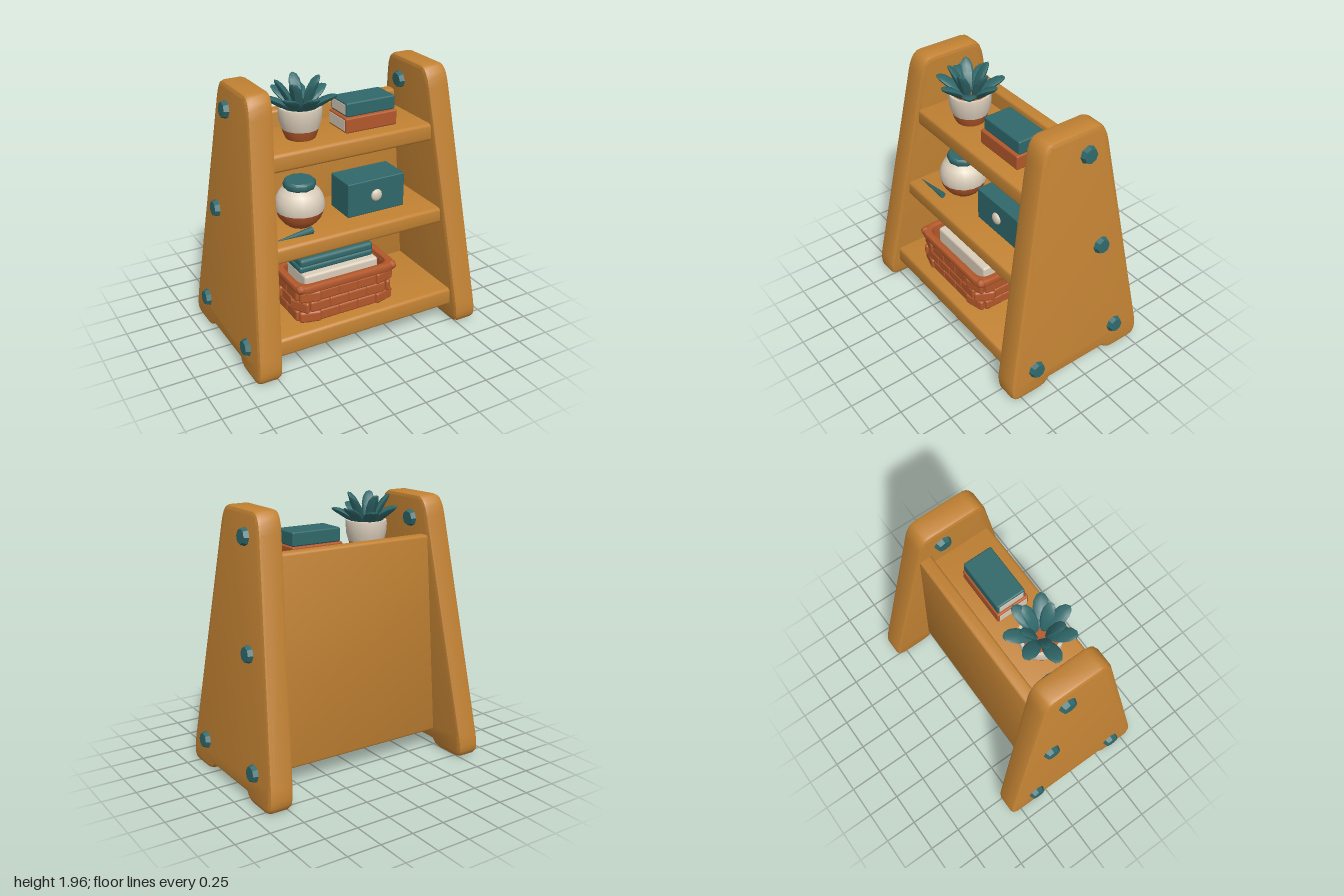
import * as THREE from 'three';
import { toCreasedNormals } from 'three/addons/utils/BufferGeometryUtils.js';
import { RoundedBoxGeometry } from 'three/addons/geometries/RoundedBoxGeometry.js';

const material = (name, color) => {
  const m = new THREE.MeshStandardMaterial({ color });
  m.name = name;
  return m;
};

// Lean of the side panels: centre x at a given height
const LEAN = 0.0765;
const panelX = (y) => 0.82 - LEAN * y;

// Move every vertex by a rule
function deform(geo, rule) {
  const p = geo.attributes.position;
  const v = new THREE.Vector3();
  for (let i = 0; i < p.count; i++) {
    rule(v.fromBufferAttribute(p, i));
    p.setXYZ(i, v.x, v.y, v.z);
  }
  geo.computeVertexNormals();
  return geo;
}

function roundedRect(hw, hh, r) {
  const s = new THREE.Shape();
  s.moveTo(0, -hh);
  s.lineTo(hw - r, -hh).quadraticCurveTo(hw, -hh, hw, -hh + r);
  s.lineTo(hw, hh - r).quadraticCurveTo(hw, hh, hw - r, hh);
  s.lineTo(-hw + r, hh).quadraticCurveTo(-hw, hh, -hw, hh - r);
  s.lineTo(-hw, -hh + r).quadraticCurveTo(-hw, -hh, -hw + r, -hh);
  s.lineTo(0, -hh);
  return s;
}

export function createModel() {
  const root = new THREE.Group();
  root.name = 'bookshelf';
  const wood = material('honey wood', 0xc28233);
  const teal = material('teal', 0x30686a);
  const clay = material('terracotta', 0xb3582b);
  const cream = material('cream', 0xdacdba);

  const add = (name, geo, mat, parent = root) => {
    const mesh = new THREE.Mesh(geo, mat);
    mesh.name = name;
    parent.add(mesh);
    return mesh;
  };
  const group = (name, x = 0, y = 0, z = 0) => {
    const g = new THREE.Group();
    g.name = name;
    g.position.set(x, y, z);
    root.add(g);
    return g;
  };
  // Rounded box given by its limits
  const block = (name, [x0, x1], [y0, y1], [z0, z1], r, mat, parent = root) => {
    const mesh = add(name, new RoundedBoxGeometry(x1 - x0, y1 - y0, z1 - z0, 2, r), mat, parent);
    mesh.position.set((x0 + x1) / 2, (y0 + y1) / 2, (z0 + z1) / 2);
    return mesh;
  };
  const lathe = (points, sides) =>
    toCreasedNormals(new THREE.LatheGeometry(points.map(([r, y]) => new THREE.Vector2(r, y)), sides), 0.7);

  // Leaning side panels with feet
  const side = new THREE.Shape();
  side.moveTo(-0.25, 0.055);
  side.quadraticCurveTo(-0.28, 0.01, -0.34, 0.005);
  side.lineTo(-0.51, 0.005);
  side.quadraticCurveTo(-0.585, 0.005, -0.585, 0.09);
  side.quadraticCurveTo(-0.585, 0.14, -0.575, 0.19);
  side.lineTo(-0.275, 1.81);
  side.quadraticCurveTo(-0.25, 1.955, -0.17, 1.955);
  side.lineTo(0.17, 1.955);
  side.quadraticCurveTo(0.25, 1.955, 0.275, 1.81);
  side.lineTo(0.575, 0.19);
  side.quadraticCurveTo(0.585, 0.14, 0.585, 0.09);
  side.quadraticCurveTo(0.585, 0.005, 0.51, 0.005);
  side.lineTo(0.34, 0.005);
  side.quadraticCurveTo(0.28, 0.01, 0.25, 0.055);
  const bolts = [[1.78, -0.09], [1.02, -0.21], [0.215, 0.37], [0.23, -0.35]];
  for (const s of [1, -1]) {
    const geo = new THREE.ExtrudeGeometry(side, {
      depth: 0.12, bevelThickness: 0.03, bevelSize: 0.03, bevelOffset: -0.03, bevelSegments: 2, curveSegments: 5,
    });
    geo.translate(0, 0, -0.06).rotateY(Math.PI / 2);
    deform(geo, (v) => { v.x += s * panelX(v.y); });
    add(s > 0 ? 'leftPanel' : 'rightPanel', toCreasedNormals(geo, 0.6), wood);

    // Bolt heads outside, plus one inside at the top
    const bolt = (y, z, dir) => {
      const mesh = add('boltHead', toCreasedNormals(new THREE.CylinderGeometry(0.052, 0.07, 0.05, 8), 0.5), teal);
      mesh.position.set(s * (panelX(y) + dir * 0.1), y, z);
      mesh.rotation.z = -s * dir * (Math.PI / 2 - dir * LEAN);
    };
    bolts.forEach(([y, z]) => bolt(y, z, 1));
    bolt(1.78, -0.09, -1);
  }

  // Shelves and back board, narrowing upwards with the panels
  const board = (name, [y0, y1], [z0, z1], r) => {
    const geo = new RoundedBoxGeometry(2, y1 - y0, z1 - z0, 2, r);
    geo.translate(0, (y0 + y1) / 2, (z0 + z1) / 2);
    add(name, toCreasedNormals(deform(geo, (v) => { v.x *= panelX(v.y) - 0.05; }), 0.6), wood);
  };
  board('bottomShelf', [0.14, 0.28], [-0.22, 0.505], 0.025);
  board('middleShelf', [0.8, 0.92], [-0.22, 0.395], 0.025);
  board('topShelf', [1.42, 1.55], [-0.22, 0.295], 0.025);
  board('backBoard', [0.14, 1.675], [-0.275, -0.18], 0.02);

  // Potted plant
  const plant = group('pottedPlant', -0.3, 1.55, 0.06);
  add('potBase', lathe([[0, 0], [0.105, 0], [0.118, 0.03], [0.131, 0.075], [0, 0.075]], 16), clay, plant);
  add('potRim', lathe([[0.131, 0.07], [0.148, 0.13], [0.153, 0.2], [0.15, 0.222], [0.13, 0.222], [0.12, 0.18]], 16), cream, plant);
  add('soil', new THREE.CylinderGeometry(0.125, 0.12, 0.02, 16).translate(0, 0.185, 0), clay, plant);
  const leaf = (azimuth, tilt, length, width) => {
    const geo = deform(new THREE.SphereGeometry(1, 8, 7), (v) => {
      const t = (v.y + 1) / 2;
      v.x *= width * (0.55 + 0.6 * t);
      v.z = v.z * 0.024 + 0.05 * t * t - 0.012 * Math.abs(v.x) / width;
      v.y = t * length;
    });
    geo.rotateX(tilt).translate(0, 0.17, 0.035).rotateY(azimuth);
    add('leaf', toCreasedNormals(geo, 0.8), teal, plant);
  };
  for (let i = 0; i < 7; i++) leaf(0.05 + (i * Math.PI * 2) / 7, 0.72 + 0.1 * (i % 2), 0.25, 0.06);
  for (let i = 0; i < 5; i++) leaf(0.5 + (i * Math.PI * 2) / 5, 0.25 + 0.08 * (i % 2), 0.265, 0.05);

  // Books on the top shelf, page ends towards the plant
  const book = (name, x, y, z, mat) => {
    block(name, x, y, z, 0.012, mat);
    block(name + 'Pages', [x[0] - 0.003, x[0] + 0.005], [y[0] + 0.015, y[1] - 0.015], [z[0] + 0.015, z[1] - 0.015], 0.002, cream);
  };
  book('lowerBook', [-0.01, 0.4], [1.55, 1.66], [-0.07, 0.18], clay);
  book('upperBook', [0.005, 0.395], [1.66, 1.762], [-0.062, 0.16], teal);

  // Jar
  const jar = group('jar', -0.34, 0.92, 0.11);
  add('jarBase', lathe([[0, 0], [0.09, 0], [0.125, 0.03], [0.158, 0.075], [0.173, 0.125], [0, 0.125]], 18), clay, jar);
  add('jarBody', lathe([[0.173, 0.12], [0.178, 0.16], [0.168, 0.21], [0.143, 0.255], [0.1, 0.285], [0.1, 0.3], [0, 0.3]], 18), cream, jar);
  add('jarLid', lathe([[0, 0.28], [0.105, 0.28], [0.116, 0.295], [0.116, 0.325], [0.103, 0.34], [0, 0.34]], 10), teal, jar);

  // Storage box with a round knob
  block('storageBox', [-0.01, 0.458], [0.92, 1.18], [-0.04, 0.215], 0.008, teal);
  const knob = add('boxKnob', new THREE.SphereGeometry(0.045, 12, 8), cream);
  knob.scale.z = 0.5;
  knob.position.set(0.222, 1.055, 0.218);

  // Pointed tool lying on the middle shelf
  const tool = add('pointedTool', new THREE.ConeGeometry(0.026, 0.3, 6).rotateZ(Math.PI / 2), teal);
  tool.position.set(-0.49, 0.94, 0.3);
  tool.rotation.z = 0.07;

  // Woven basket: inner wall, floor, brick-laid strips, rim
  const basket = group('basket', -0.112, 0.28, 0.2);
  const ring = (hw, hd, wall, y, height, bevel, name) => {
    const shape = roundedRect(hw, hd, 0.1);
    shape.holes.push(roundedRect(hw - wall, hd - wall, 0.08));
    const geo = new THREE.ExtrudeGeometry(shape, {
      depth: height - 2 * bevel, bevelEnabled: bevel > 0, bevelThickness: bevel,
      bevelSize: bevel, bevelOffset: -bevel, bevelSegments: 2, curveSegments: 5,
    });
    geo.rotateX(-Math.PI / 2).translate(0, y + bevel, 0);
    add(name, toCreasedNormals(geo, 0.6), clay, basket);
  };
  ring(0.375, 0.2, 0.03, 0, 0.27, 0, 'basketWall');
  ring(0.405, 0.222, 0.055, 0.243, 0.06, 0.015, 'basketRim');
  block('basketFloor', [-0.36, 0.36], [0, 0.03], [-0.185, 0.185], 0.01, clay, basket);
  const path = roundedRect(0.375, 0.198, 0.12);
  const COUNT = 14;
  for (let row = 0; row < 3; row++) {
    for (let i = 0; i < COUNT; i++) {
      const u = ((i + (row % 2) * 0.5) / COUNT) % 1;
      const p = path.getPointAt(u);
      const t = path.getTangentAt(u);
      const strip = add('wovenStrip', new RoundedBoxGeometry(0.158, 0.086, 0.036, 2, 0.017), clay, basket);
      strip.position.set(p.x, 0.046 + row * 0.081, -p.y);
      strip.rotation.y = Math.atan2(t.y, t.x);
    }
  }
  for (const sx of [1, -1]) for (const sz of [1, -1]) {
    const corner = add('rimCorner', new THREE.SphereGeometry(0.035, 8, 6), clay, basket);
    corner.position.set(sx * 0.37, 0.277, sz * 0.185);
  }

  // Folded cloths in the basket
  block('creamCloth', [-0.41, 0.19], [0.46, 0.6], [0.01, 0.31], 0.02, cream);
  block('tealClothLower', [-0.42, 0.18], [0.592, 0.645], [0.0, 0.255], 0.02, teal);
  block('tealClothUpper', [-0.41, 0.185], [0.63, 0.697], [0.0, 0.25], 0.025, teal);

  return root;
}
